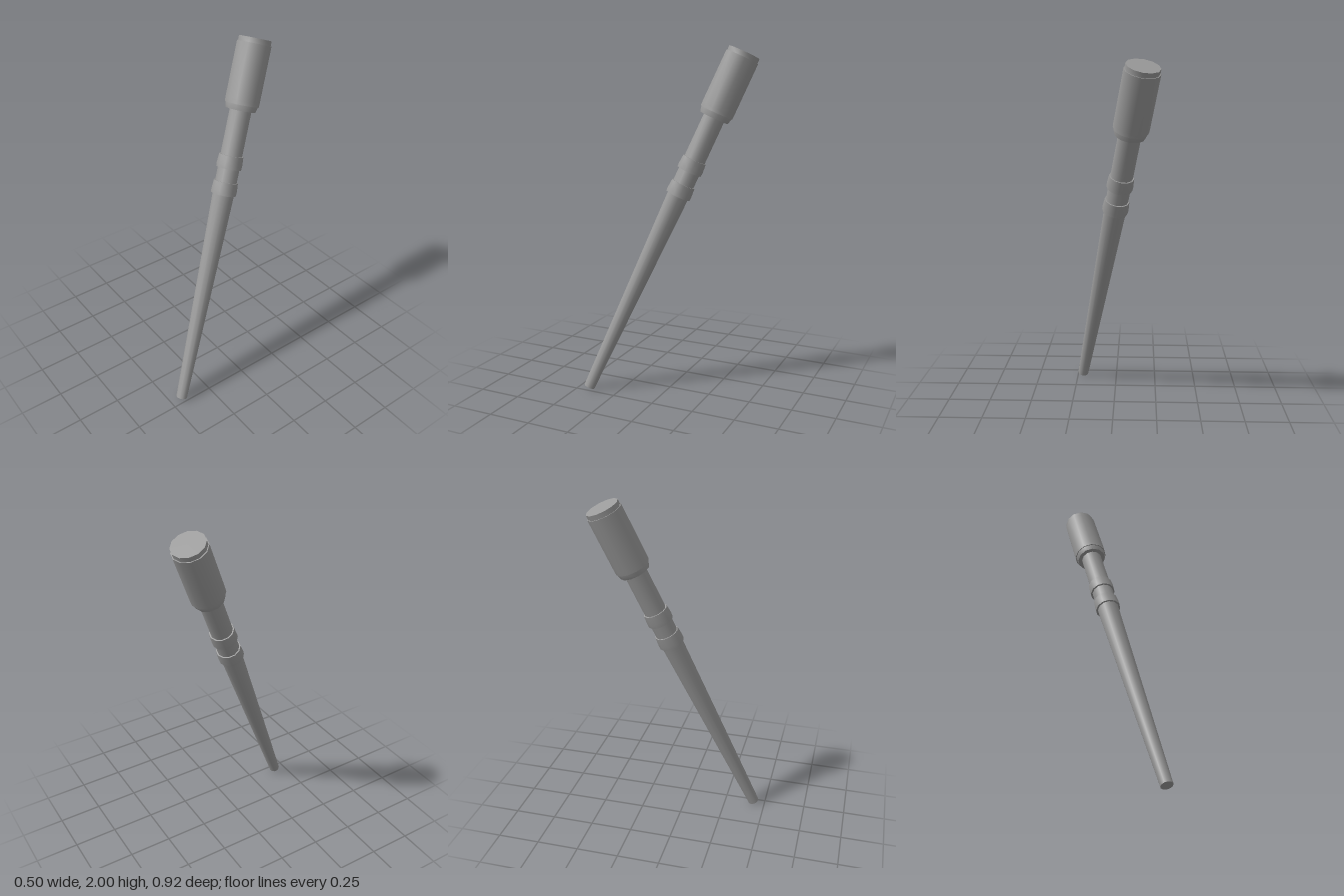
import * as THREE from 'three';
import { toCreasedNormals } from 'three/addons/utils/BufferGeometryUtils.js';

const SIDES = 12;
const BASE = new THREE.Vector3(0.217, 0.015, 0.43);
const TIP = new THREE.Vector3(-0.159, 1.963, -0.374);

export function createModel() {
  const model = new THREE.Group();
  const material = new THREE.MeshStandardMaterial({ color: 0x9a9a9a });
  const direction = TIP.clone().sub(BASE);
  const length = direction.length();
  // distance along the axis for a given height of the leaning baton
  const along = (y) => ((y - BASE.y) / (TIP.y - BASE.y)) * length;

  const baton = new THREE.Group();
  baton.name = 'baton';
  baton.position.copy(BASE);
  baton.quaternion.setFromUnitVectors(new THREE.Vector3(0, 1, 0), direction.normalize());
  model.add(baton);

  // turned part from [radius, height] pairs, closed at both ends
  function turned(name, profile) {
    const points = profile.map(([r, y]) => new THREE.Vector2(r, along(y)));
    points.unshift(new THREE.Vector2(0, points[0].y));
    points.push(new THREE.Vector2(0, points[points.length - 1].y));
    const geometry = toCreasedNormals(new THREE.LatheGeometry(points, SIDES), 0.6);
    const mesh = new THREE.Mesh(geometry, material);
    mesh.name = name;
    baton.add(mesh);
  }

  // long tapered shaft and the straight grip above it
  turned('shaft', [[0.033, 0.015], [0.063, 1.19]]);
  turned('grip', [[0.063, 1.19], [0.062, 1.63]]);

  // two raised collars
  for (const [name, y] of [['lowerCollar', 1.17], ['upperCollar', 1.308]]) {
    turned(name, [[0.073, y], [0.074, y + 0.02], [0.07, y + 0.067]]);
  }

  // thick head with a stepped lower rim and an end cap
  turned('headRim', [[0.085, 1.607], [0.092, 1.63], [0.092, 1.645]]);
  turned('head', [[0.097, 1.636], [0.098, 1.658], [0.097, 1.938]]);
  turned('endCap', [[0.092, 1.93], [0.092, 1.963]]);

  return model;
}
